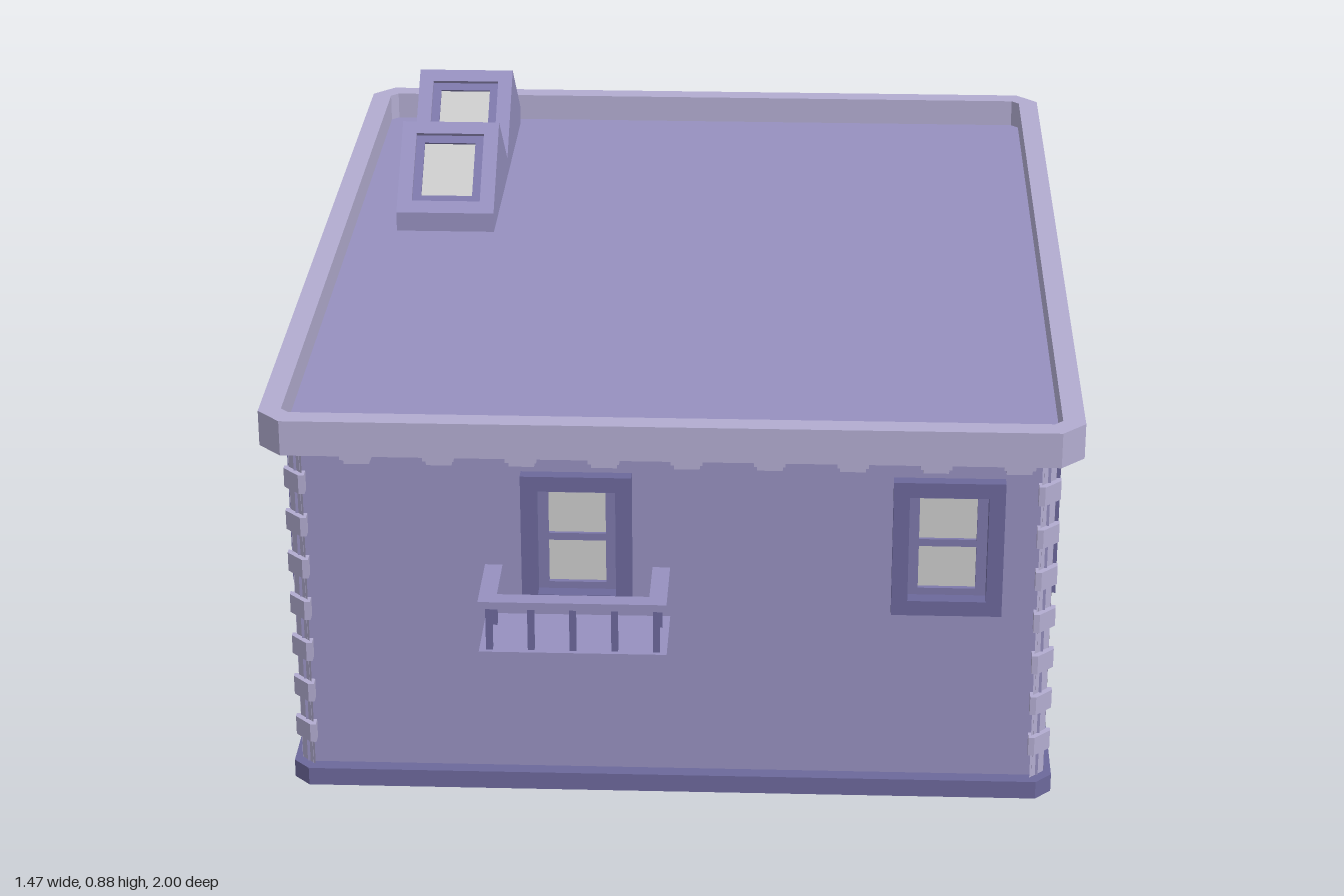
import * as THREE from 'three';

const paint = (color) => new THREE.MeshStandardMaterial({ color, flatShading: true });
const WALL = paint(0x9690bf), TRIM = paint(0xb2acd0), FRAME = paint(0x6c689b);
const SASH = paint(0x7d78aa), GLASS = paint(0xcccccc);

const HX = 0.68, HZ = 0.85;          // outer faces of the walls
const WALL_TOP = 0.69, WIN_Y = 0.5075;

function mesh(name, geometry, material, parent, x = 0, y = 0, z = 0) {
  const m = new THREE.Mesh(geometry, material);
  m.name = name;
  m.position.set(x, y, z);
  parent.add(m);
  return m;
}
const box = (name, w, h, d, material, parent, x, y, z) =>
  mesh(name, new THREE.BoxGeometry(w, h, d), material, parent, x, y, z);

const polygon = (pts, Type = THREE.Shape) => new Type(pts.map(([x, y]) => new THREE.Vector2(x, y)));
const rect = (w, h, cx = 0, cy = 0, Type = THREE.Shape) => polygon([
  [cx - w / 2, cy - h / 2], [cx + w / 2, cy - h / 2], [cx + w / 2, cy + h / 2], [cx - w / 2, cy + h / 2]], Type);
const chamfered = (hx, hy, c, Type = THREE.Shape) => polygon([
  [-hx + c, -hy], [hx - c, -hy], [hx, -hy + c], [hx, hy - c],
  [hx - c, hy], [-hx + c, hy], [-hx, hy - c], [-hx, -hy + c]], Type);

function extrude(shape, depth, holes = []) {
  shape.holes.push(...holes);
  return new THREE.ExtrudeGeometry(shape, { depth, bevelEnabled: false });
}
// extrusion standing on the ground plane
const extrudeUp = (shape, height, holes) => extrude(shape, height, holes).rotateX(-Math.PI / 2);

// nested frame, recessed sash and pane, facing +z
function glazing(parent, w, h, ow, oh, gw, gh, depth, front, frameMaterial) {
  mesh('frame', extrude(rect(w, h), depth, [rect(ow, oh, 0, 0, THREE.Path)]), frameMaterial, parent, 0, 0, front - depth);
  const s = Math.min(0.022, depth * 0.55);
  mesh('sash', extrude(rect(ow, oh), s, [rect(gw, gh, 0, 0, THREE.Path)]), SASH, parent, 0, 0, front - depth * 0.9);
  box('pane', gw, gh, 0.004, GLASS, parent, 0, 0, front - depth * 0.9 + s * 0.5);
}

function makeWindow() {
  const g = new THREE.Group();
  g.name = 'window';
  glazing(g, 0.2, 0.265, 0.142, 0.207, 0.104, 0.18, 0.055, 0.023, FRAME);
  box('windowBar', 0.104, 0.014, 0.018, SASH, g, 0, 0, -0.016);
  return g;
}

function makeBalcony() {
  const g = new THREE.Group();
  g.name = 'balcony';
  const W = 0.337, D = 0.155, r = 0.032, z = 0.15 - D / 2;
  box('balconyFloor', W, 0.013, D, WALL, g, 0, 0.346, z);
  box('frontRail', W, 0.014, r, WALL, g, 0, 0.445, 0.15 - r / 2);
  for (const s of [-1, 1]) {
    box('sideRail', r, 0.014, D - r, WALL, g, s * (W - r) / 2, 0.445, z - r / 2);
    box('sidePost', 0.012, 0.09, 0.012, FRAME, g, s * 0.15, 0.395, 0.04);
  }
  for (let i = -2; i <= 2; i++) box('frontPost', 0.012, 0.09, 0.012, FRAME, g, i * 0.075, 0.395, 0.135);
  return g;
}

// one wall with its windows, cornice brackets and optional balcony
function makeSide(name, half, windows, brackets, shift, balconyAt) {
  const g = new THREE.Group();
  g.name = name;
  const holes = windows.map((u) => rect(0.17, 0.235, u, WIN_Y, THREE.Path));
  mesh('wall', extrude(rect(2 * half, WALL_TOP, 0, WALL_TOP / 2), 0.02, holes), WALL, g, 0, 0, -0.02);
  for (const u of windows) {
    const w = makeWindow();
    w.position.set(u, WIN_Y, 0);
    g.add(w);
  }
  for (let i = 0; i < brackets; i++) {
    const u = (i - (brackets - 1) / 2) * 0.148 + shift;
    box('bracketTop', 0.056, 0.014, 0.045, TRIM, g, u, 0.684, 0.0225);
    box('bracketFoot', 0.046, 0.014, 0.03, TRIM, g, u, 0.67, 0.015);
  }
  if (balconyAt !== undefined) {
    const b = makeBalcony();
    b.position.x = balconyAt;
    g.add(b);
  }
  return g;
}

// corner pillar with alternating wider blocks
function makeCorner(sx, sz) {
  const g = new THREE.Group();
  g.name = 'cornerQuoins';
  const piece = (out, inset, c) => {
    const X = HX + out, Z = HZ + out, x = HX - inset, z = HZ - inset;
    return polygon([[x, z], [X, z], [X, Z - c], [X - c, Z], [x, Z]].map(([a, b]) => [sx * a, -sz * b]));
  };
  mesh('cornerPillar', extrudeUp(piece(0.011, 0.012, 0.027), 0.66), TRIM, g, 0, 0.03, 0);
  for (let i = 0; i < 7; i++)
    mesh('cornerBlock', extrudeUp(piece(0.02, 0.021, 0.03), 0.037), TRIM, g, 0, 0.087 + i * 0.085, 0);
  return g;
}

// gabled roof light with a window on each slope
function makeRoofLight() {
  const g = new THREE.Group();
  g.name = 'roofLight';
  const W = 0.2, half = 0.166, ridge = 0.88, eave = 0.741, t = 0.025;
  const len = Math.hypot(half, ridge - eave), angle = Math.atan2(ridge - eave, half);
  box('curb', W, eave - 0.69, 2 * half, WALL, g, 0, (eave + 0.69) / 2, 0);
  const drop = t * 0.98 / Math.cos(angle);
  const core = extrude(polygon([[-half, 0.7], [half, 0.7], [half, eave - drop], [0, ridge - drop], [-half, eave - drop]]), W);
  mesh('gableCore', core.rotateY(Math.PI / 2).translate(-W / 2, 0, 0), WALL, g);
  for (const turn of [0, Math.PI]) {
    const side = new THREE.Group();
    side.name = 'slope';
    side.rotation.y = turn;
    const panel = new THREE.Group();
    panel.name = 'slopeWindow';
    panel.position.set(0, (ridge + eave) / 2, half / 2);
    panel.rotation.x = angle - Math.PI / 2;
    panel.rotation.x = -(Math.PI / 2 - angle);
    glazing(panel, W, len, 0.14, 0.16, 0.105, 0.125, t, 0, WALL);
    side.add(panel);
    g.add(side);
  }
  return g;
}

export function createModel() {
  const model = new THREE.Group();
  model.name = 'building';

  // plinth, roof and parapet
  mesh('plinth', extrudeUp(chamfered(0.705, 0.877, 0.03), 0.035, [rect(1.3, 1.64, 0, 0, THREE.Path)]), FRAME, model);
  box('roof', 2 * 0.7, 0.022, 2 * 0.87, WALL, model, 0, 0.69, 0);
  mesh('parapet', extrudeUp(chamfered(0.737, 0.907, 0.043), 0.067,
    [chamfered(0.697, 0.867, 0.015, THREE.Path)]), TRIM, model, 0, 0.69, 0);

  // four walls, each turned to face outward
  const sideWindows = [-0.673, 0, 0.673];
  const sides = [
    makeSide('frontSide', HX, [-0.17, 0.5], 9, 0.03, -0.17),
    makeSide('leftSide', HZ, sideWindows, 11, 0.02),
    makeSide('backSide', HX, [-0.5, 0.17], 9, 0.03, -0.5),
    makeSide('rightSide', HZ, sideWindows, 11, 0.02),
  ];
  sides.forEach((side, i) => {
    const a = i * Math.PI / 2;
    side.rotation.y = a;
    side.position.set(Math.sin(a) * HX, 0, Math.cos(a) * HZ);
    model.add(side);
  });

  for (const sx of [-1, 1]) for (const sz of [-1, 1]) model.add(makeCorner(sx, sz));

  for (const z of [-0.338, -0.673]) {
    const light = makeRoofLight();
    light.position.set(-0.508, 0, z);
    model.add(light);
  }
  return model;
}
